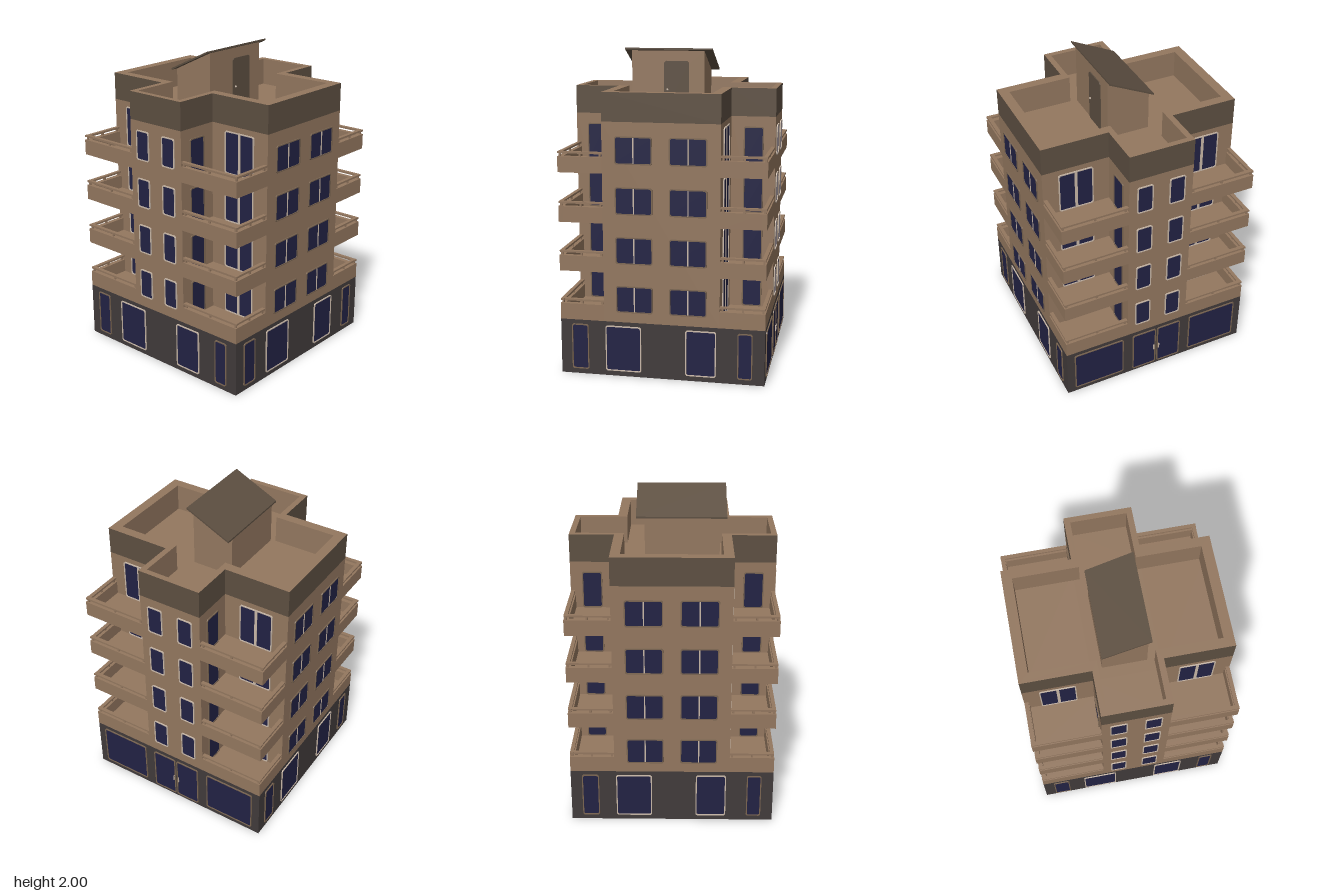
import * as THREE from 'three';

const mat = (name, color) => {
  const m = new THREE.MeshStandardMaterial({ color });
  m.name = name;
  return m;
};

export function createModel() {
  const tan = mat('tan wall', 0x93775f);
  const brown = mat('dark brown', 0x5d4f41);
  const charcoal = mat('charcoal base', 0x413b3b);
  const glass = mat('navy glass', 0x222244);
  const cream = mat('cream frame', 0xc9b8a8);
  const bronze = mat('bronze frame', 0x7a6551);

  const model = new THREE.Group();
  model.name = 'apartmentTower';
  model.rotation.y = -0.0196; // the plan sits very slightly turned

  const H = 0.6375, AX = 0.21, AZ = 0.36; // half width, arm half widths
  const BASE = 0.355, TOP = 1.59, PARAPET = 1.765, STEP = 0.307;

  function add(parent, name, geo, material, x = 0, y = 0, z = 0) {
    const mesh = new THREE.Mesh(geo, material);
    mesh.name = name;
    mesh.position.set(x, y, z);
    parent.add(mesh);
    return mesh;
  }
  const box = (parent, name, m, x0, x1, y0, y1, z0, z1) =>
    add(parent, name, new THREE.BoxGeometry(Math.abs(x1 - x0), y1 - y0, Math.abs(z1 - z0)), m,
      (x0 + x1) / 2, (y0 + y1) / 2, (z0 + z1) / 2);

  // Cross-shaped outline: ends at ex / ez, arms ax / az
  const crossPoints = (ex, ez, ax, az) => [
    [ax, ez], [-ax, ez], [-ax, az], [-ex, az], [-ex, -az], [-ax, -az],
    [-ax, -ez], [ax, -ez], [ax, -az], [ex, -az], [ex, az], [ax, az],
  ].map(([x, y]) => new THREE.Vector2(x, y));

  function prism(outer, hole, height) {
    const shape = new THREE.Shape(outer);
    if (hole) shape.holes.push(new THREE.Path(hole));
    const geo = new THREE.ExtrudeGeometry(shape, { depth: height, bevelEnabled: false });
    return geo.rotateX(-Math.PI / 2);
  }

  // Rectangle with clipped corners, centred
  function clipped(w, h, c) {
    const a = w / 2, b = h / 2;
    return [[a - c, -b], [a, -b + c], [a, b - c], [a - c, b], [-a + c, b], [-a, b - c], [-a, -b + c], [-a + c, -b]]
      .map(([x, y]) => new THREE.Vector2(x, y));
  }

  // Window with frame on a wall: angle = wall direction, d = wall distance, u = sideways offset
  function addWindow(name, angle, d, u, y0, y1, w, frameMat, mullion = 0) {
    const g = new THREE.Group();
    g.name = name;
    const h = y1 - y0, f = 0.007;
    const shape = new THREE.Shape(clipped(w, h, 0.009));
    shape.holes.push(new THREE.Path(clipped(w - 2 * f, h - 2 * f, 0.007)));
    add(g, 'frame', new THREE.ExtrudeGeometry(shape, { depth: 0.007, bevelEnabled: false }), frameMat);
    add(g, 'pane', new THREE.ShapeGeometry(new THREE.Shape(clipped(w - f, h - f, 0.008))), glass, 0, 0, 0.003);
    if (mullion) add(g, 'mullion', new THREE.BoxGeometry(mullion, h - f, 0.006), cream, 0, 0, 0.003);
    const s = Math.sin(angle), c = Math.cos(angle);
    g.position.set(u * c + d * s, (y0 + y1) / 2, -u * s + d * c);
    g.rotation.y = angle;
    model.add(g);
  }

  // Ground floor and tower body
  box(model, 'groundFloor', charcoal, -H, H, 0, BASE - 0.004, -H, H);
  box(model, 'groundFloorRoof', tan, -H, H, BASE - 0.004, BASE, -H, H);
  add(model, 'towerBody', prism(crossPoints(H, H, AX, AZ), null, TOP - BASE), tan, 0, BASE, 0);

  // Parapet: dark outer cladding with a tan wall behind it
  const e = 0.006;
  const skin = crossPoints(H - e, H - e, AX - e, AZ - e);
  add(model, 'parapetCladding', prism(crossPoints(H, H, AX, AZ), skin, PARAPET - TOP), [tan, brown], 0, TOP, 0);
  add(model, 'parapetWall', prism(skin, crossPoints(0.575, 0.602, 0.173, 0.3), PARAPET - TOP), tan, 0, TOP, 0);

  // Ground floor windows
  const Q = Math.PI / 2;
  for (const angle of [0, Q, -Q]) {
    for (const [u, w, m] of [[-0.513, 0.108, bronze], [-0.239, 0.225, cream], [0.245, 0.19, cream], [0.517, 0.092, bronze]]) {
      addWindow('shopWindow', angle, H, u, 0.033, 0.325, w, m);
    }
  }
  for (const s of [-1, 1]) {
    addWindow('rearShopWindow', Math.PI, H, s * 0.413, 0.033, 0.325, 0.345, bronze);
    addWindow('rearDoor', Math.PI, H, s * 0.089, 0.02, 0.325, 0.168, bronze);
    add(model, 'doorHandle', new THREE.BoxGeometry(0.006, 0.04, 0.012), cream, s * 0.018, 0.16, -H - 0.004);
  }

  // Four storeys of windows, balcony doors and balconies
  for (let i = 0; i < 4; i++) {
    const y = BASE + STEP * i;
    for (const s of [-1, 1]) {
      for (const a of [0, Math.PI]) {
        addWindow('narrowWindow', a, H, s * 0.106, y + 0.068, y + 0.257, 0.105, cream);
        addWindow('balconyDoubleDoor', a, AZ, s * 0.425, y + 0.014, y + 0.28, 0.222, cream, 0.018);
      }
      for (const a of [Q, -Q]) {
        addWindow('doubleWindow', a, H, s * 0.166, y + 0.06, y + 0.228, 0.23, bronze, 0.008);
        addWindow('balconyDoor', a, AX, s * 0.502, y + 0.014, y + 0.25, 0.125, bronze);
      }
      for (const t of [-1, 1]) addBalcony(s, t, y);
    }
  }

  function addBalcony(sx, sz, y) {
    const g = new THREE.Group();
    g.name = 'balcony';
    const T = 0.03, wallTop = y + 0.098, r0 = y + 0.116, r1 = y + 0.128;
    box(g, 'slab', tan, sx * AX, sx * H, y, y + 0.012, sz * AZ, sz * H);
    box(g, 'frontWall', tan, sx * AX, sx * H, y, wallTop, sz * (H - T), sz * H);
    box(g, 'sideWall', tan, sx * (H - T), sx * H, y, wallTop, sz * AZ, sz * (H - T));
    box(g, 'frontRail', tan, sx * AX, sx * H, r0, r1, sz * (H - 0.026), sz * (H - 0.002));
    box(g, 'sideRail', tan, sx * (H - 0.026), sx * (H - 0.002), r0, r1, sz * AZ, sz * (H - 0.026));
    const post = (x, z) => box(g, 'railPost', tan, sx * (x - 0.006), sx * (x + 0.006), wallTop, r0, sz * (z - 0.006), sz * (z + 0.006));
    const c = H - 0.014;
    for (const x of [0.225, 0.42, c]) post(x, c);
    for (const z of [0.375, 0.5]) post(c, z);
    model.add(g);
  }

  // Stair house on the roof, with a single-pitch roof
  const profile = (pts, depth) => new THREE.ExtrudeGeometry(
    new THREE.Shape(pts.map(([x, y]) => new THREE.Vector2(x, y))), { depth, bevelEnabled: false });
  add(model, 'stairHouse', profile([[-0.143, TOP], [0.13, TOP], [0.13, 1.986], [-0.143, 1.852]], 0.465), tan, 0, 0, -0.175);
  add(model, 'stairHouseRoof', profile([[-0.149, 1.85], [0.141, 1.989], [0.141, 2], [-0.149, 1.861]], 0.56), brown, 0, 0, -0.228);
  add(model, 'roofDoor', new THREE.ExtrudeGeometry(new THREE.Shape(clipped(0.16, 0.33, 0.012)), { depth: 0.006, bevelEnabled: false }),
    brown, 0.13, 1.755, 0.003).rotation.y = Q;
  add(model, 'roofDoorKnob', new THREE.SphereGeometry(0.007, 8, 6), cream, 0.139, 1.74, 0.06);

  const group = new THREE.Group();
  group.name = 'building';
  group.add(model);
  return group;
}
